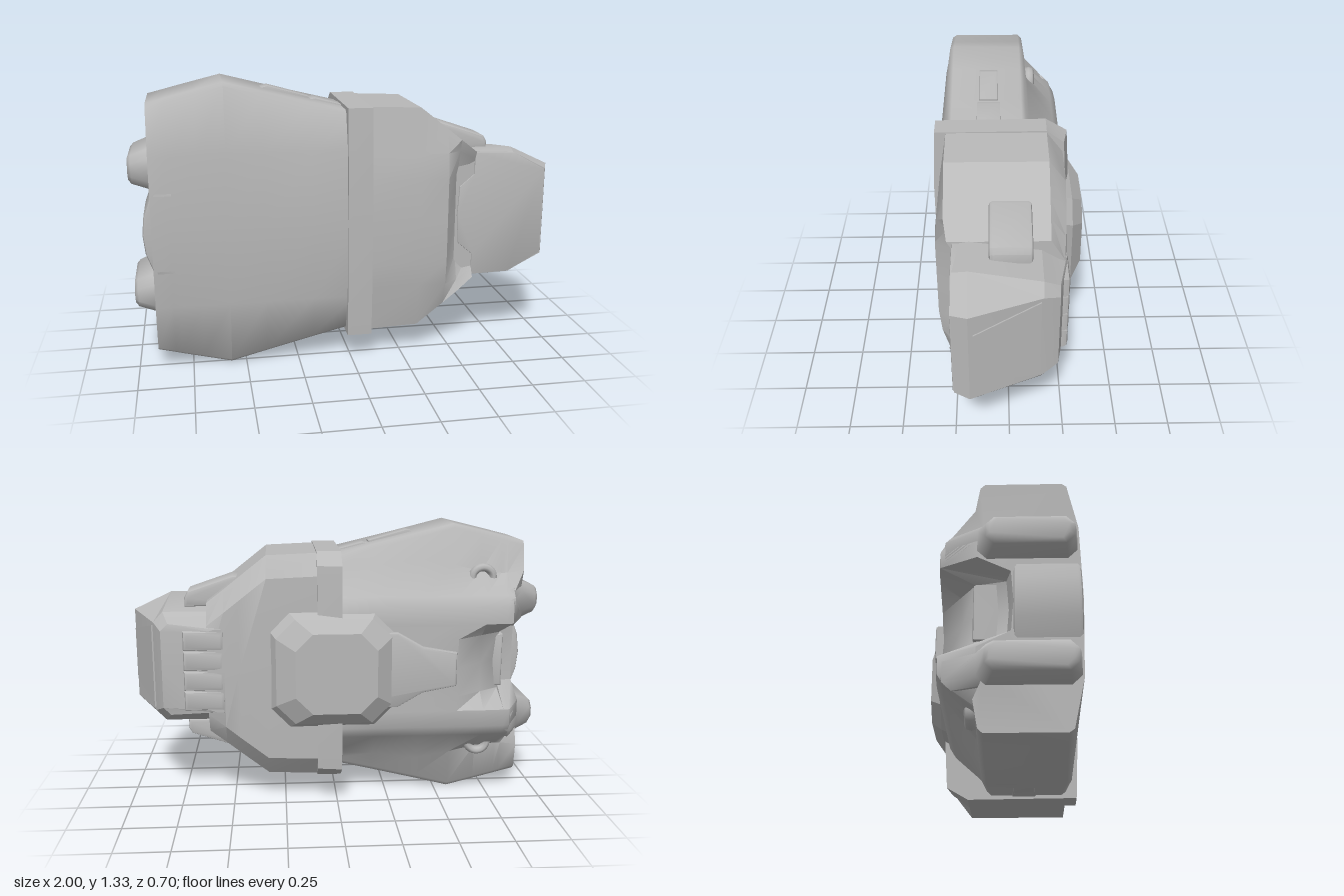
import * as THREE from 'three';
import { mergeVertices, toCreasedNormals } from 'three/addons/utils/BufferGeometryUtils.js';

const MID = 0.667; // height of the mirror plane
const hullGrey = new THREE.MeshStandardMaterial({ color: 0xb8b8b8 });
hullGrey.name = 'hull grey';

// Mirrors half an outline [v, a] running from v = 0 round to v = 0
const mirrorHalf = (half) => half.concat(
  half.slice().reverse().filter((p) => p[0] > 0.0001).map(([v, a]) => [-v, a]));

// Skins rings of 2D points; place(p, level) turns each into a 3D point
function loft(rings, place, crease = 0.5) {
  const n = rings[0].pts.length, pos = [], idx = [];
  rings.forEach((r) => r.pts.forEach((p) => pos.push(...place(p, r.at))));
  for (let i = 0; i < rings.length - 1; i++) {
    for (let j = 0; j < n; j++) {
      const a = i * n + j, b = i * n + (j + 1) % n;
      idx.push(a, b, b + n, a, b + n, a + n);
    }
  }
  // end caps, wound to agree with the sides
  [0, rings.length - 1].forEach((k) => {
    const flat = rings[k].pts.map((p) => new THREE.Vector2(p[0], p[1]));
    const ccw = !THREE.ShapeUtils.isClockWise(flat);
    THREE.ShapeUtils.triangulateShape(flat, []).forEach(([a, b, c]) => {
      const t = [a + k * n, b + k * n, c + k * n];
      if ((k === 0) === ccw) t.reverse();
      idx.push(...t);
    });
  });
  // a negative enclosed volume means the skin is inside out
  let vol = 0;
  const P = (i) => new THREE.Vector3().fromArray(pos, i * 3);
  for (let i = 0; i < idx.length; i += 3) vol += P(idx[i]).dot(P(idx[i + 1]).cross(P(idx[i + 2])));
  if (vol < 0) idx.reverse();
  const g = new THREE.BufferGeometry();
  g.setAttribute('position', new THREE.Float32BufferAttribute(pos, 3));
  g.setIndex(idx);
  return toCreasedNormals(g, crease);
}
const alongX = ([v, z], x) => [x, v, z];
const alongZ = ([v, x], z) => [x, v, z];

// Bevelled plate: outline in (x, y), between depths z0 and z1
function slab(points, z0, z1, bevel) {
  const shape = new THREE.Shape(points.map((p) => new THREE.Vector2(...p)));
  const g = new THREE.ExtrudeGeometry(shape, {
    depth: z1 - z0 - 2 * bevel, bevelSize: bevel, bevelOffset: -bevel,
    bevelThickness: bevel, bevelSegments: 2, steps: 1,
  });
  g.translate(0, 0, z0 + bevel);
  return toCreasedNormals(mergeVertices(g), 0.6);
}

export function createModel() {
  const model = new THREE.Group();
  model.name = 'spacecraft';
  const body = new THREE.Group();
  body.name = 'body';
  body.position.y = MID;
  model.add(body);
  const add = (name, geometry) => {
    const m = new THREE.Mesh(geometry, hullGrey);
    m.name = name;
    body.add(m);
    return m;
  };

  // Rear hull: x, outer half width, plateau edge, ridge depth, channel depth
  const rear = [
    [-0.91, 0.58, 0.44, -0.10, 0.05],
    [-0.83, 0.60, 0.43, -0.26, 0.03],
    [-0.80, 0.608, 0.43, -0.265, -0.10],
    [-0.70, 0.633, 0.44, -0.27, -0.17],
    [-0.57, 0.665, 0.47, -0.27, -0.26],
    [-0.40, 0.622, 0.50, -0.27, -0.275],
    [-0.18, 0.568, 0.47, -0.27, -0.275],
    [0.02, 0.52, 0.46, -0.27, -0.275],
  ].map(([x, w, p, ridge, floor]) => ({
    at: x,
    pts: mirrorHalf([[0, 0.335], [0.35, 0.325], [w - 0.015, 0.28], [w, 0.26], [w, -0.07],
      [w - 0.02, -0.09], [p, -0.11], [0.34, ridge + 0.03], [0.29, ridge], [0.21, ridge],
      [0.14, Math.max(floor - 0.01, ridge)], [0, floor]]),
  }));
  add('rearHull', loft(rear, alongX, 0.8));

  // Curved stern between the prongs, and the block in the stern channel
  add('stern', slab([[-0.8, -0.2], [-0.8, 0.2], [-0.9, 0.2], [-0.94, 0.09], [-0.95, 0],
    [-0.94, -0.09], [-0.9, -0.2]], 0.05, 0.33, 0.015));
  add('engineBlock', slab([[-0.82, -0.13], [-0.7, -0.13], [-0.7, 0.13], [-0.82, 0.13]],
    -0.12, 0.05, 0.012));

  // Spine plate on the back
  add('spinePlate', slab([[-0.56, -0.08], [-0.4, -0.11], [-0.28, -0.18], [0, -0.18], [0, 0.18],
    [-0.28, 0.18], [-0.4, 0.11], [-0.56, 0.08]], -0.3, -0.2, 0.012));

  // Collar around the middle
  const collarHalf = [[0, 0.345], [0.27, 0.345], [0.545, 0.332], [0.55, -0.18],
    [0.49, -0.28], [0.25, -0.295], [0, -0.295]];
  add('collar', loft([
    { at: -0.02, pts: mirrorHalf(collarHalf) },
    { at: 0.095, pts: mirrorHalf(collarHalf.map(([v, z]) => [v, z < -0.2 ? z + 0.02 : z])) },
  ], alongX, 0.2));

  // Front hull: x, half width, centre front depth, outer front depth, back depth
  const fore = [
    [0.06, 0.543, 0.33, 0.28, -0.265],
    [0.33, 0.532, 0.33, 0.28, -0.265],
    [0.46, 0.43, 0.325, 0.28, -0.262],
    [0.53, 0.374, 0.225, 0.28, -0.258],
    [0.61, 0.312, 0.2, 0.265, -0.25],
  ].map(([x, w, front, edge, back]) => ({
    at: x,
    pts: mirrorHalf([[0, front], [0.2, front], [Math.min(0.32, w - 0.04), (front + edge) / 2 + 0.01],
      [w, edge], [w, -0.18], [w - 0.1, back + 0.01], [0, back]]),
  }));
  add('frontHull', loft(fore, alongX, 0.62));

  // Head: depth, side width, shoulder x, tip half width, tip x
  const head = [
    [0.237, 0.3, 0.8, 0.215, 0.965],
    [0.17, 0.313, 0.81, 0.225, 0.995],
    [-0.14, 0.265, 0.82, 0.215, 0.865],
    [-0.21, 0.22, 0.79, 0.185, 0.825],
    [-0.25, 0.2, 0.57, 0.19, 0.6],
  ].map(([z, w, sx, t, tx]) => ({
    at: z, pts: mirrorHalf([[0, 0.5], [w, 0.5], [w, sx], [t, tx], [0, tx]]),
  }));
  add('head', loft(head, alongZ, 0.4));

  // Raised faceplate with a notched rear edge
  const plate = [[0.61, 0.305], [0.61, 0.2], [0.54, 0.14], [0.53, 0], [0.54, -0.14],
    [0.61, -0.2], [0.61, -0.305], [0.8, -0.3], [0.96, -0.21], [0.96, 0.21], [0.8, 0.3]];
  add('facePlate', slab(plate.reverse(), 0.2, 0.243, 0.004));

  // Tapered panel laid on the sloping nose
  const panel = [[0.15, 0.13], [0.15, -0.13], [-0.13, -0.2], [-0.13, 0.2]];
  const noseX = (z) => 0.865 + (z + 0.14) * 0.13 / 0.31;
  add('nosePanel', loft([-0.02, 0.007].map((lift) => ({ at: lift, pts: panel })),
    ([z, v], lift) => [noseX(z) + lift, v, z], 0.2));

  // Vent slats behind the head
  for (let i = 0; i < 4; i++) {
    const v = -0.144 + i * 0.096;
    add('ventSlat', slab([[0.53, v - 0.046], [0.72, v - 0.046], [0.72, v + 0.046],
      [0.53, v + 0.046]], -0.258, -0.2, 0.018));
  }

  // Faceted dome on the back
  const octagon = (x0, x1, w, c) => mirrorHalf([[0, x0], [w - c, x0], [w, x0 + c],
    [w, x1 - c], [w - c, x1], [0, x1]]);
  add('backDome', loft([
    { at: -0.25, pts: octagon(-0.27, 0.32, 0.28, 0.09) },
    { at: -0.3, pts: octagon(-0.25, 0.29, 0.25, 0.09) },
    { at: -0.353, pts: octagon(-0.18, 0.2, 0.19, 0.08) },
  ], alongZ, 0.2));

  // Paired parts, mirrored top and bottom
  for (const s of [1, -1]) {
    const pts = (list) => list.map(([x, v]) => [x, s * v]);
    const name = s > 0 ? 'upper' : 'lower';

    // Stern prong: x, inner and outer edge, back and front depth, corner cut
    const prong = [
      [-1, 0.24, 0.34, -0.045, 0.285, 0.03],
      [-0.985, 0.225, 0.355, -0.063, 0.305, 0.035],
      [-0.91, 0.2, 0.38, -0.1, 0.318, 0.04],
      [-0.84, 0.2, 0.37, -0.24, 0.318, 0.04],
      [-0.78, 0.21, 0.34, -0.255, 0.318, 0.04],
    ].map(([x, a, b, z0, z1, c]) => ({
      at: x,
      pts: [[a + c, z0], [b - c, z0], [b, z0 + c], [b, z1 - c], [b - c, z1], [a + c, z1],
        [a, z1 - c], [a, z0 + c]].map(([v, z]) => [s * v, z]),
    }));
    add(name + 'Prong', loft(prong, alongX, 0.9));

    // Side pod on the sloping shoulder
    add(name + 'Pod', slab(pts([[0.45, 0.28], [0.72, 0.28], [0.72, 0.325], [0.705, 0.352],
      [0.49, 0.425], [0.45, 0.42]]), -0.1, 0.085, 0.015));

    // Edge vent and step on the wing
    add(name + 'EdgeVent', slab(pts([[-0.4, 0.58], [-0.4, 0.618], [-0.36, 0.628], [-0.17, 0.575],
      [-0.17, 0.53]]), 0.04, 0.13, 0.005));
    add(name + 'EdgeStep', slab(pts([[-0.17, 0.5], [-0.17, 0.562], [-0.14, 0.568], [0, 0.53],
      [0, 0.5]]), 0.03, 0.14, 0.005));

    // Small lifting eye on the wing plateau
    const eye = add(name + 'Eyelet', new THREE.TorusGeometry(0.05, 0.02, 8, 12, Math.PI));
    eye.position.set(-0.705, s * 0.41, -0.125);
    eye.rotation.z = s > 0 ? 0 : Math.PI;
    eye.scale.z = 1.4;
  }
  return model;
}
